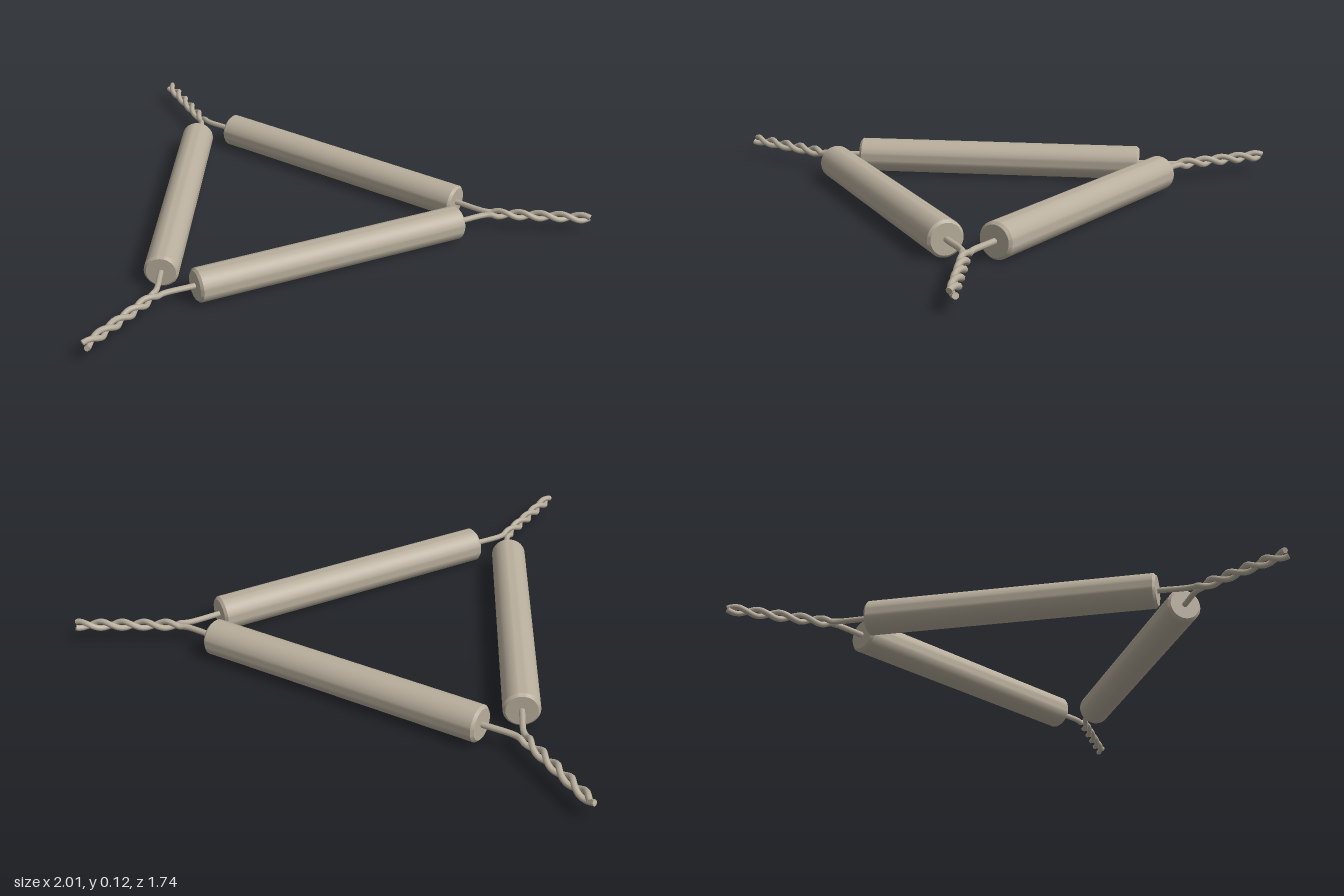
import * as THREE from 'three';
import { toCreasedNormals } from 'three/addons/utils/BufferGeometryUtils.js';

const HALF = 0.68;                    // half a side of the wire triangle
const APOTHEM = HALF / Math.sqrt(3);  // centre to side
const TAIL = 0.363;                   // length of each twisted tail
const TURNS = 2.4;
const COIL = 0.0115;                  // strand offset from the tail's axis
const WIRE = 0.0105;

// Points of one strand's tail at the corner on side s (+1 or -1), from corner to tip
function tailPoints(s) {
  const points = [];
  const steps = 44;
  for (let i = 0; i <= steps; i++) {
    const t = i / steps;
    const a = t * TURNS * Math.PI * 2;
    const along = t * TAIL;
    const side = COIL * Math.cos(a);
    points.push(new THREE.Vector3(
      s * (HALF + along * Math.cos(Math.PI / 6) - side * 0.5),
      s * COIL * Math.sin(a),
      -APOTHEM - along * 0.5 - side * Math.cos(Math.PI / 6)
    ));
  }
  return points;
}

// One wire: twisted tail, straight side, twisted tail
function wireCurve() {
  const straight = [];
  for (let i = -6; i <= 6; i++) straight.push(new THREE.Vector3(i * 0.108, 0, -APOTHEM));
  const curve = new THREE.CatmullRomCurve3([...tailPoints(-1).reverse(), ...straight, ...tailPoints(1)]);
  curve.arcLengthDivisions = 1200;
  return curve;
}

// Solid clay sleeve with slightly bevelled ends, lying along x
function sleeveGeometry() {
  const r = 0.0625, h = 0.53, b = 0.009;
  const profile = [[0, -h], [r - b, -h], [r, -h + b], [r, h - b], [r - b, h], [0, h]]
    .map(([x, y]) => new THREE.Vector2(x, y));
  const lathe = new THREE.LatheGeometry(profile, 40);
  lathe.rotateZ(Math.PI / 2);
  return toCreasedNormals(lathe, 0.6);
}

export function createModel() {
  const model = new THREE.Group();
  model.name = 'clayTriangle';
  const clay = new THREE.MeshStandardMaterial({ color: 0xb8ae9c });
  clay.name = 'warm grey clay';

  const curve = wireCurve();
  const wireGeo = new THREE.TubeGeometry(curve, 320, WIRE, 8, false);
  const sleeveGeo = sleeveGeometry();
  const capGeo = new THREE.CircleGeometry(WIRE, 8);
  const forward = new THREE.Vector3(0, 0, 1);

  for (let i = 0; i < 3; i++) {
    const side = new THREE.Group();
    side.name = 'side' + (i + 1);
    side.rotation.y = i * Math.PI * 2 / 3;

    const sleeve = new THREE.Mesh(sleeveGeo, clay);
    sleeve.name = 'claySleeve';
    sleeve.position.z = -APOTHEM;

    const wire = new THREE.Mesh(wireGeo, clay);
    wire.name = 'twistedWire';
    side.add(sleeve, wire);

    // Cut ends of the wire
    for (const t of [0, 1]) {
      const cap = new THREE.Mesh(capGeo, clay);
      cap.name = 'wireEnd';
      cap.position.copy(curve.getPointAt(t));
      const out = curve.getTangentAt(t).multiplyScalar(t ? 1 : -1);
      cap.quaternion.setFromUnitVectors(forward, out);
      side.add(cap);
    }
    model.add(side);
  }

  // Rest on the ground and centre the bounds front to back
  model.position.set(0, 0.0625, -0.285);
  const root = new THREE.Group();
  root.name = 'pipeTriangle';
  root.add(model);
  return root;
}
